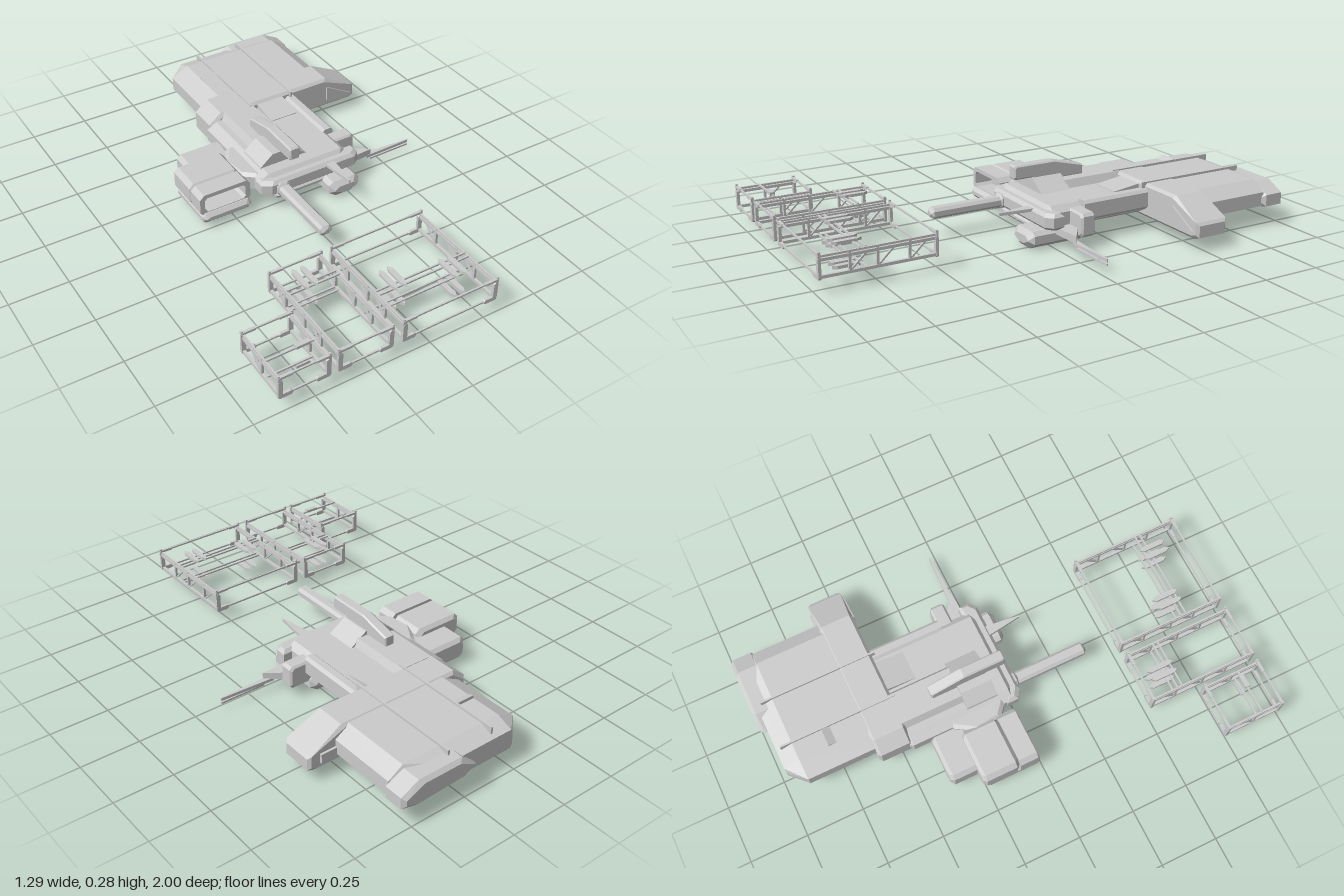
import * as THREE from 'three';
import { ConvexGeometry } from 'three/addons/geometries/ConvexGeometry.js';

const mat = new THREE.MeshStandardMaterial({ color: 0xcccccc, flatShading: true });

export function createModel() {
  const root = new THREE.Group();
  let parent = root;

  const add = (name, geo) => {
    const m = new THREE.Mesh(geo, mat);
    m.name = name;
    parent.add(m);
    return m;
  };
  // Box from its limits on each axis
  const box = (name, x0, x1, y0, y1, z0, z1) =>
    add(name, new THREE.BoxGeometry(x1 - x0, y1 - y0, z1 - z0))
      .position.set((x0 + x1) / 2, (y0 + y1) / 2, (z0 + z1) / 2);
  // Convex outline pushed along an axis from a to b, with chamfered ends
  const prism = (name, axis, outline, a, b, bevel = 0) => {
    const place = {
      x: (p, t) => new THREE.Vector3(t, p[1], p[0]),
      y: (p, t) => new THREE.Vector3(p[0], t, p[1]),
      z: (p, t) => new THREE.Vector3(p[0], p[1], t),
    }[axis];
    const mid = [0, 1].map(i => {
      const v = outline.map(p => p[i]);
      return (Math.min(...v) + Math.max(...v)) / 2;
    });
    const inset = p => p.map((v, i) => {
      const d = v - mid[i];
      return mid[i] + Math.sign(d) * Math.max(0, Math.abs(d) - bevel);
    });
    const pts = [];
    for (const p of outline) {
      pts.push(place(p, a + bevel), place(p, b - bevel));
      if (bevel) pts.push(place(inset(p), a), place(inset(p), b));
    }
    return add(name, new ConvexGeometry(pts));
  };
  // Box with chamfered corners, seen along z
  const cut = (name, x0, x1, y0, y1, z0, z1, c, bevel = 0) => prism(name, 'z', [
    [x0 + c, y0], [x1 - c, y0], [x1, y0 + c], [x1, y1 - c],
    [x1 - c, y1], [x0 + c, y1], [x0, y1 - c], [x0, y0 + c]], z0, z1, bevel);
  // Thin square bar between two points
  const bar = (name, a, b, t = 0.007) => {
    const A = new THREE.Vector3(...a), B = new THREE.Vector3(...b);
    const m = add(name, new THREE.BoxGeometry(t, t, A.distanceTo(B)));
    m.position.copy(A).lerp(B, 0.5);
    m.lookAt(B);
  };
  const group = name => {
    parent = new THREE.Group();
    parent.name = name;
    root.add(parent);
  };

  // Rear hull and the wide band in front of it
  group('rearHull');
  const hullSection = [[-0.08, 0.09], [-0.08, 0.15], [0, 0.192], [0.46, 0.192], [0.525, 0.15], [0.525, 0.09], [0.46, 0.07], [0, 0.07]];
  prism('mainDeck', 'z', hullSection, -0.9, -0.58);
  const tail = [];
  for (const [x, y] of hullSection) {
    tail.push(new THREE.Vector3(x, y, -0.9));
    tail.push(new THREE.Vector3(Math.min(0.3, Math.max(-0.01, x)), 0.1 + (y - 0.1) * 0.7, -0.97));
  }
  add('tailSlope', new ConvexGeometry(tail));
  prism('band', 'z', [[-0.12, 0.07], [-0.12, 0.15], [-0.06, 0.196], [0.49, 0.196], [0.645, 0.11], [0.645, 0.06], [0.62, 0.05], [-0.09, 0.05]],
    -0.605, -0.455, 0.012);
  prism('bandSidePanel', 'z', [[0.49, 0.155], [0.62, 0.085], [0.49, 0.085]], -0.46, -0.447);
  box('bandRearStep', 0.52, 0.595, 0.08, 0.12, -0.615, -0.6);
  for (const x of [0.08, 0.29]) box('deckRib', x - 0.004, x + 0.004, 0.14, 0.202, -0.95, -0.44);
  prism('deckVent', 'x', [[-0.77, 0.205], [-0.73, 0.19], [-0.77, 0.19]], 0, 0.078);
  prism('tailPod', 'z', [[0.19, 0.12], [0.26, 0.18], [0.46, 0.18], [0.54, 0.14], [0.54, 0.09], [0.48, 0.075], [0.24, 0.085]],
    -1, -0.89, 0.015);

  // Middle hull
  group('middleHull');
  prism('body', 'z', [[-0.135, 0.085], [-0.135, 0.14], [-0.09, 0.165], [0.27, 0.165], [0.3, 0.14], [0.3, 0.085], [0.25, 0.06], [-0.07, 0.06]],
    -0.47, 0.01, 0.015);
  prism('spine', 'z', [[-0.07, 0.15], [-0.045, 0.198], [0.09, 0.198], [0.115, 0.15]], -0.47, -0.19);
  prism('deckRamp', 'x', [[-0.46, 0.185], [-0.33, 0.168], [-0.33, 0.15], [-0.46, 0.15]], 0.12, 0.25);
  cut('sideRail', 0.265, 0.318, 0.09, 0.176, -0.46, -0.14, 0.012);
  cut('sideBlock', 0.27, 0.39, 0.05, 0.15, -0.145, -0.08, 0.012, 0.008);
  prism('frontPlate', 'y', [[-0.14, -0.03], [0.34, -0.03], [0.34, 0.02], [0.31, 0.045], [-0.1, 0.045], [-0.14, 0.02]], 0.08, 0.15, 0.014);
  cut('frontLip', -0.07, 0.2, 0.045, 0.075, -0.1, 0.03, 0.01, 0.01);
  cut('bellyBlock', -0.17, -0.04, 0.03, 0.09, -0.37, -0.18, 0.015, 0.015);

  // Raised cabin with the long scope on its roof
  group('cabin');
  prism('cabinBase', 'z', [[-0.1, 0.155], [-0.095, 0.17], [-0.04, 0.216], [0.05, 0.216], [0.125, 0.165], [0.125, 0.155]], -0.195, -0.055);
  prism('scopeFront', 'x', [[0.027, 0.222], [0.027, 0.27], [0.02, 0.276], [-0.16, 0.276], [-0.16, 0.216], [0.02, 0.216]], -0.004, 0.044, 0.006);
  prism('scopeRear', 'x', [[-0.15, 0.276], [-0.16, 0.276], [-0.31, 0.238], [-0.31, 0.195], [-0.06, 0.195], [-0.06, 0.25]], -0.004, 0.044, 0.006);

  // Forward barrel, spike and side needle
  group('probes');
  cut('barrel', -0.075, -0.02, 0.085, 0.13, 0, 0.378, 0.012, 0.012);
  cut('barrelCollar', -0.08, -0.015, 0.08, 0.14, 0.02, 0.06, 0.015, 0.01);
  prism('spike', 'y', [[0.165, 0.03], [0.175, 0.1], [0.187, 0.185], [0.193, 0.185], [0.203, 0.1], [0.21, 0.03]], 0.132, 0.145);
  prism('needleRoot', 'y', [[0.28, -0.14], [0.34, -0.09], [0.42, -0.035], [0.44, -0.02], [0.28, -0.01]], 0.055, 0.085);
  prism('needleBlade', 'y', [[0.4, -0.042], [0.46, -0.034], [0.645, -0.03], [0.645, -0.024], [0.42, -0.018]], 0.045, 0.058);
  prism('needleTip', 'y', [[0.44, -0.03], [0.645, -0.03], [0.645, -0.024], [0.44, -0.02]], 0.03, 0.038);

  // Lower pod
  group('lowerPod');
  prism('podShell', 'z', [[0.155, 0.025], [0.155, 0.06], [0.175, 0.075], [0.285, 0.075], [0.302, 0.06], [0.302, 0.025], [0.265, 0], [0.19, 0]],
    -0.17, 0.105, 0.02);

  // Side arm with an open bay at its front
  group('sideArm');
  const rect = (s, x0, x1, y0, y1, c) => s.setFromPoints([
    [x0 + c, y0], [x1 - c, y0], [x1, y0 + c], [x1, y1 - c],
    [x1 - c, y1], [x0 + c, y1], [x0, y1 - c], [x0, y0 + c]].map(p => new THREE.Vector2(...p)));
  const ring = (x0, x1, y0, y1, c, w, h, depth) => {
    const s = rect(new THREE.Shape(), x0, x1, y0, y1, c);
    s.holes.push(rect(new THREE.Path(), x0 + w, x1 - w, y0 + h, y1 - h, c * 0.6));
    return new THREE.ExtrudeGeometry(s, { depth, bevelEnabled: false });
  };
  add('bayFrame', ring(-0.405, -0.17, 0.055, 0.16, 0.02, 0.022, 0.018, 0.08)).position.z = -0.1;
  cut('armBody', -0.405, -0.17, 0.055, 0.16, -0.265, -0.1, 0.02, 0.015);
  cut('armKeel', -0.4, -0.17, 0.024, 0.07, -0.25, 0, 0.015, 0.015);
  cut('armRear', -0.335, -0.12, 0.03, 0.13, -0.38, -0.2, 0.018, 0.015);
  prism('armJoint', 'y', [[-0.19, -0.2], [-0.14, -0.28], [-0.05, -0.28], [-0.05, -0.06], [-0.13, -0.04], [-0.18, -0.08]], 0.07, 0.152, 0.012);

  // Open cargo frames: end rings, rails, trussed sides, cross bars and clamps
  const cargoFrame = (name, x0, x1, z0, z1, posts, bars, clamps) => {
    group(name);
    for (const z of [z0, z1 - 0.012]) {
      for (const x of [x0, x1]) {
        const inner = x === x0 ? 1 : -1;
        const [a, b] = [x, x + inner * 0.019].sort((p, q) => p - q);
        cut('cornerPost', a, b, 0.065, 0.145, z, z + 0.012, 0.006);
        const [c, d] = [x, x + inner * 0.06].sort((p, q) => p - q);
        cut('cornerFoot', c, d, 0.06, 0.078, z, z + 0.012, 0.006);
        box('cornerHead', c, d, 0.152, 0.162, z, z + 0.012);
        bar('cornerLug', [x + inner * 0.004, 0.135, z + 0.006], [x + inner * 0.004, 0.168, z + 0.006], 0.009);
      }
      bar('endTopBar', [x0, 0.157, z + 0.006], [x1, 0.157, z + 0.006]);
      bar('endBottomBar', [x0 + 0.01, 0.07, z + 0.006], [x1 - 0.01, 0.07, z + 0.006]);
    }
    for (const x of [x0 + 0.009, x1 - 0.009]) {
      bar('bottomRail', [x, 0.071, z0], [x, 0.071, z1], 0.012);
      bar('middleRail', [x, 0.137, z0], [x, 0.137, z1], 0.012);
      bar('topRail', [x, 0.15, z0], [x, 0.15, z1], 0.008);
      posts.forEach(z => {
        bar('sidePost', [x, 0.072, z], [x, 0.15, z], 0.01);
        bar('sideBrace', [x, 0.072, z], [x, 0.137, z - 0.07], 0.007);
      });
    }
    for (const z of bars)
      for (const y of [0.075, 0.155]) bar('crossBar', [x0 + 0.01, y, z], [x1 - 0.01, y, z]);
    for (const [x, z, len] of clamps) {
      for (const side of [-1, 1]) {
        const cx = x + side * 0.02;
        const outline = [[cx - side * 0.011, z - len * 0.7], [cx, z - len], [cx + side * 0.011, z - len * 0.7],
          [cx + side * 0.011, z + len * 0.7], [cx, z + len], [cx - side * 0.011, z + len * 0.7]];
        prism('lowerClamp', 'y', outline, 0.06, 0.073);
        prism('upperClamp', 'y', outline, 0.155, 0.167);
      }
    }
  };
  cargoFrame('largeCargoFrame', -0.125, 0.31, 0.513, 0.995, [0.63, 0.76, 0.87], [0.805, 0.828],
    [[-0.025, 0.785, 0.06], [0.205, 0.85, 0.06]]);
  cargoFrame('mediumCargoFrame', -0.403, -0.165, 0.513, 0.995, [0.63, 0.76, 0.87], [0.633, 0.655],
    [[-0.3, 0.61, 0.06]]);
  cargoFrame('smallCargoFrame', -0.648, -0.432, 0.733, 0.995, [0.87], [0.895], []);
  for (const y of [0.06, 0.155]) box('sideClamp', -0.52, -0.46, y, y + 0.012, 0.885, 0.905);

  return root;
}
